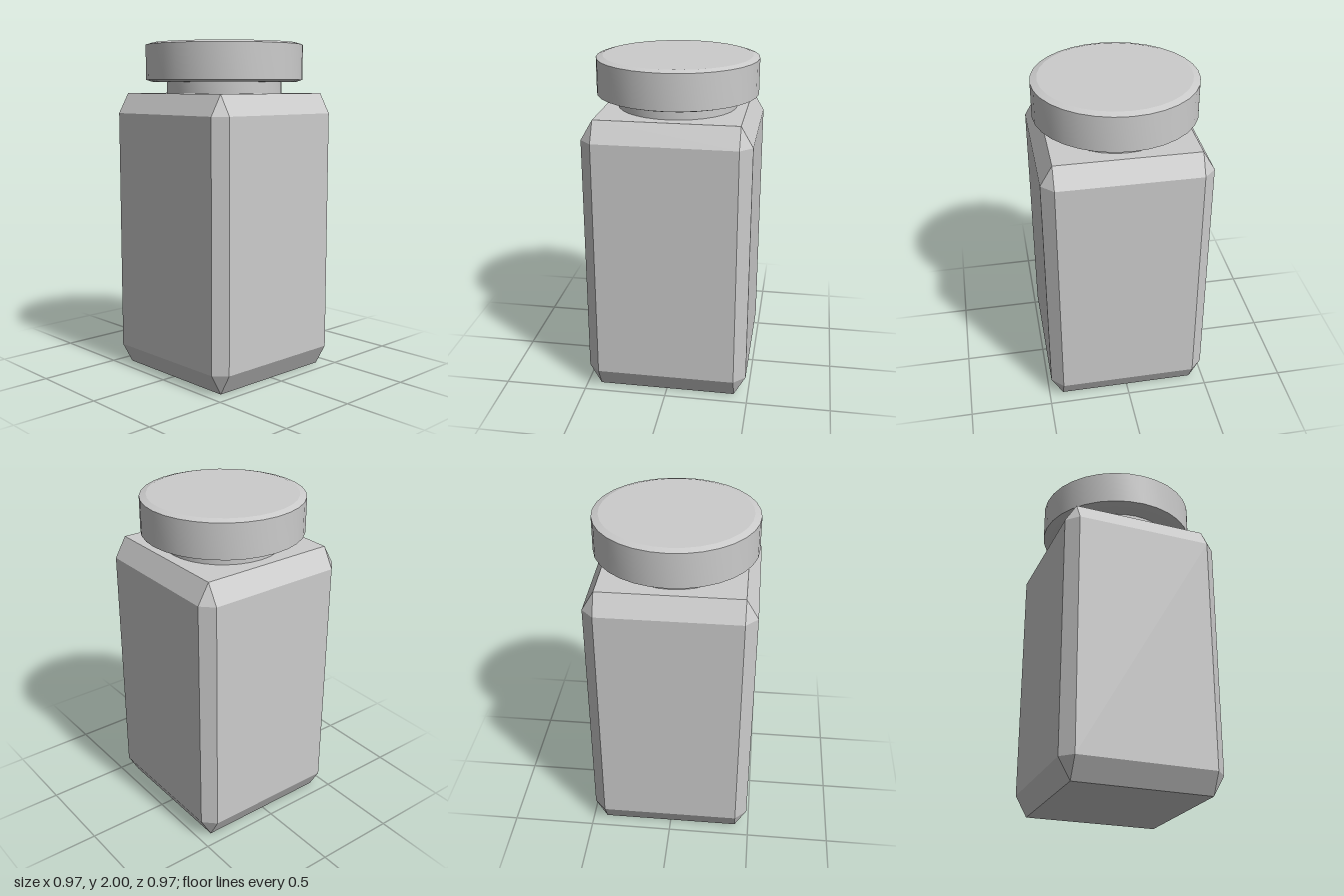
import * as THREE from 'three';
import { toCreasedNormals } from 'three/addons/utils/BufferGeometryUtils.js';
import { ConvexGeometry } from 'three/addons/geometries/ConvexGeometry.js';

const OUTER = 0.485; // half width of the body at its walls
const INNER = 0.415; // half width of its top and bottom faces
const AXIS_X = 0.003; // the neck and lid sit slightly off centre

export function createModel() {
  const group = new THREE.Group();
  const grey = new THREE.MeshStandardMaterial({ color: 0xcccccc });

  const add = (name, geometry, x = 0) => {
    const mesh = new THREE.Mesh(geometry, grey);
    mesh.name = name;
    mesh.position.x = x;
    group.add(mesh);
  };

  // Turned part with smooth walls and crisp rims
  const turned = (profile) => toCreasedNormals(
    new THREE.LatheGeometry(profile.map(([r, y]) => new THREE.Vector2(r, y)), 32),
    Math.PI / 12
  );

  // Square body with every edge chamfered
  const corners = [];
  for (const sx of [-1, 1]) {
    for (const sz of [-1, 1]) {
      for (const y of [0, 1.7]) corners.push(new THREE.Vector3(sx * INNER, y, sz * INNER));
      for (const y of [0.125, 1.58]) {
        corners.push(new THREE.Vector3(sx * OUTER, y, sz * INNER));
        corners.push(new THREE.Vector3(sx * INNER, y, sz * OUTER));
      }
    }
  }
  add('body', new ConvexGeometry(corners));

  // Short neck between body and lid
  add('neck', turned([[0, 1.69], [0.35, 1.69], [0.35, 1.78], [0, 1.78]]), AXIS_X);

  // Wide lid with a shallow bevel on both rims
  add('lid', turned([
    [0, 1.768], [0.437, 1.768], [0.476, 1.78],
    [0.476, 1.988], [0.437, 2], [0, 2],
  ]), AXIS_X);

  return group;
}
